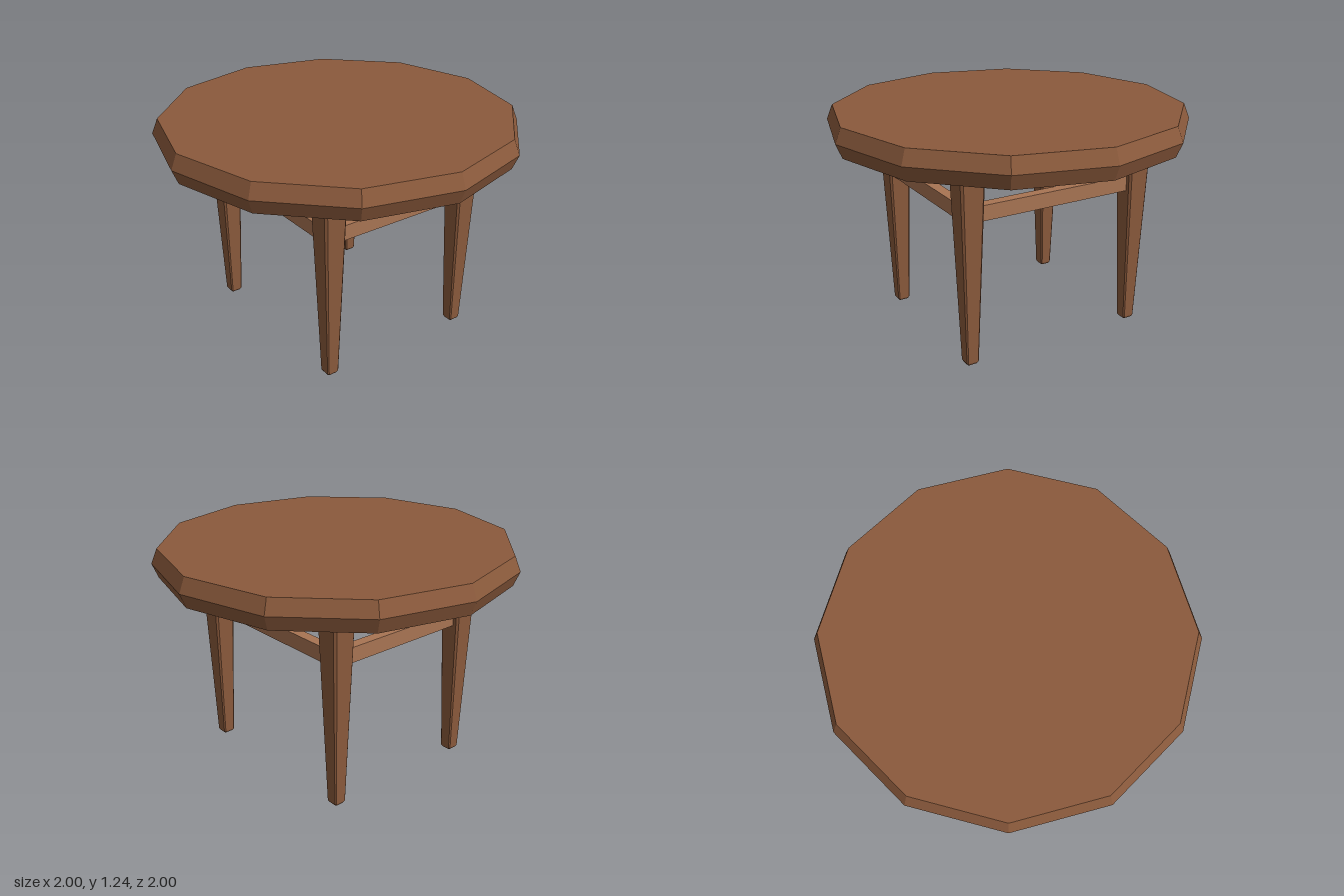
import * as THREE from 'three';

const wood = new THREE.MeshStandardMaterial({ color: 0x8b5a3c, flatShading: true });
const paleWood = new THREE.MeshStandardMaterial({ color: 0xa87453, flatShading: true });

const LEG_X = 0.44, LEG_Z = 0.513;   // half spacing of the legs
const BASE_X = 0.016, BASE_Z = -0.008; // the base sits slightly off centre

// Twelve-sided top whose rim bulges to an edge at mid height
function makeTop() {
  const profile = [[0, 1.075], [0.967, 1.075], [1, 1.155], [0.967, 1.237], [0, 1.237]]
    .map(([r, y]) => new THREE.Vector2(r, y));
  return new THREE.LatheGeometry(profile, 12);
}

// Square leg with cut corners, tapering to a small bevelled foot
function makeLeg() {
  const a = 1, b = 0.82;
  const section = new THREE.Shape(
    [[a, -b], [a, b], [b, a], [-b, a], [-a, b], [-a, -b], [-b, -a], [b, -a]]
      .map(([x, y]) => new THREE.Vector2(x, y)));
  const geometry = new THREE.ExtrudeGeometry(section, { depth: 2, steps: 2, bevelEnabled: false });
  geometry.rotateX(-Math.PI / 2);
  const heights = [0, 0.012, 1.08];
  const halfWidths = [0.028, 0.035, 0.07];
  const p = geometry.attributes.position;
  for (let i = 0; i < p.count; i++) {
    const layer = Math.round(p.getY(i));
    const w = halfWidths[layer];
    p.setXYZ(i, p.getX(i) * w, heights[layer], p.getZ(i) * w);
  }
  geometry.computeVertexNormals();
  return geometry;
}

export function createModel() {
  const table = new THREE.Group();
  table.name = 'roundTable';

  const add = (parent, name, geometry, material, x = 0, y = 0, z = 0) => {
    const mesh = new THREE.Mesh(geometry, material);
    mesh.name = name;
    mesh.position.set(x, y, z);
    parent.add(mesh);
  };

  add(table, 'tableTop', makeTop(), wood);

  const base = new THREE.Group();
  base.name = 'base';
  base.position.set(BASE_X, 0, BASE_Z);
  table.add(base);

  // Legs at the four corners
  const leg = makeLeg();
  for (const [sx, side] of [[1, 'Left'], [-1, 'Right']]) {
    for (const [sz, end] of [[1, 'front'], [-1, 'back']]) {
      add(base, `${end}${side}Leg`, leg, wood, sx * LEG_X, 0, sz * LEG_Z);
    }
  }

  // Rails joining neighbouring legs
  const railX = new THREE.BoxGeometry(2 * LEG_X, 0.083, 0.06);
  const railZ = new THREE.BoxGeometry(0.06, 0.083, 2 * LEG_Z);
  add(base, 'frontRail', railX, paleWood, 0, 0.837, LEG_Z);
  add(base, 'backRail', railX, paleWood, 0, 0.837, -LEG_Z);
  add(base, 'leftRail', railZ, paleWood, LEG_X, 0.837, 0);
  add(base, 'rightRail', railZ, paleWood, -LEG_X, 0.837, 0);

  return table;
}
